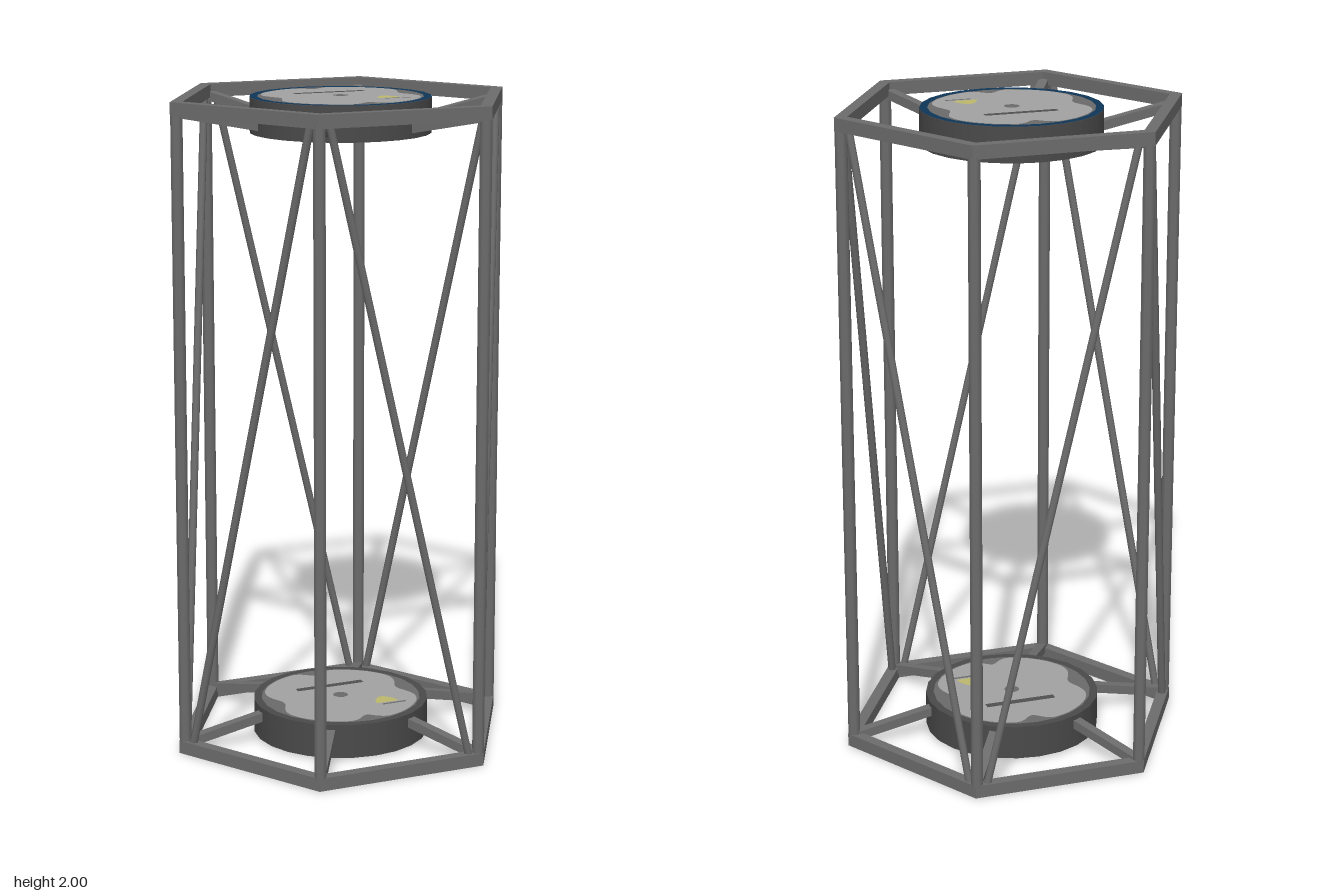
import * as THREE from 'three';

const mat = (name, color) => {
  const m = new THREE.MeshStandardMaterial({ color });
  m.name = name;
  return m;
};

export function createModel() {
  const steel = mat('frame grey', 0x6c6c6c);
  const dark = mat('hub dark grey', 0x4a4a4a);
  const panel = mat('panel grey', 0x6a6a6a);
  const light = mat('light grey', 0xa2a2a2);
  const blue = mat('navy blue', 0x0f3658);
  const yellow = mat('pale yellow', 0xbcb86c);
  const mark = mat('marking grey', 0x505050);

  const model = new THREE.Group();
  model.name = 'hexTruss';

  const add = (parent, name, geometry, material) => {
    const mesh = new THREE.Mesh(geometry, material);
    mesh.name = name;
    parent.add(mesh);
    return mesh;
  };

  // Point on the hexagon: corner i, radius r, height y
  const corner = (i, r, y) => {
    const a = (i * Math.PI) / 3;
    return new THREE.Vector3(r * Math.cos(a), y, r * Math.sin(a));
  };

  // Round bar between two points
  const bar = (parent, name, a, b, radius, sides) => {
    const mesh = add(parent, name, new THREE.CylinderGeometry(radius, radius, a.distanceTo(b), sides), steel);
    mesh.position.copy(a).lerp(b, 0.5);
    mesh.quaternion.setFromUnitVectors(new THREE.Vector3(0, 1, 0), b.clone().sub(a).normalize());
    return mesh;
  };

  // Hexagonal end frame, 0.04 thick, open in the middle
  const hexPoints = (r) => Array.from({ length: 6 }, (_, i) => {
    const p = corner(i, r, 0);
    return new THREE.Vector2(p.x, p.z);
  });
  const hexShape = new THREE.Shape(hexPoints(0.54));
  hexShape.holes.push(new THREE.Path(hexPoints(0.5)));
  const hexGeometry = new THREE.ExtrudeGeometry(hexShape, { depth: 0.04, bevelEnabled: false });
  hexGeometry.rotateX(-Math.PI / 2);

  // Light face of the hub with a notch at each quarter
  const facePoints = [];
  for (let i = 0; i < 96; i++) {
    const a = (i / 96) * Math.PI * 2;
    const dx = Math.asin(Math.abs(Math.sin(a)));
    const dz = Math.PI / 2 - dx;
    const r = 0.243 - 0.052 * Math.exp(-((dx / 0.3) ** 2)) - 0.045 * Math.exp(-((dz / 0.15) ** 2));
    facePoints.push(new THREE.Vector2(r * Math.cos(a), r * Math.sin(a)));
  }
  const faceGeometry = new THREE.ShapeGeometry(new THREE.Shape(facePoints));

  // Rounded triangle marker
  const tri = new THREE.Shape();
  tri.moveTo(0.072, -0.12);
  tri.lineTo(0.145, -0.12);
  tri.quadraticCurveTo(0.145, -0.095, 0.122, -0.072);
  tri.quadraticCurveTo(0.107, -0.06, 0.095, -0.072);
  tri.quadraticCurveTo(0.072, -0.095, 0.072, -0.12);

  // One painted face, lying flat and facing up
  const hubFace = (rimMaterial) => {
    const face = new THREE.Group();
    face.name = 'hubFace';
    const plate = (name, geometry, material, level, x = 0, y = 0) =>
      add(face, name, geometry, material).position.set(x, y, level);
    plate('rim', new THREE.RingGeometry(0.249, 0.273, 24), rimMaterial, 0.001);
    plate('panel', new THREE.CircleGeometry(0.25, 24), panel, 0.0005);
    plate('lightPanel', faceGeometry, light, 0.0015);
    plate('centreSpot', new THREE.CircleGeometry(0.024, 12), panel, 0.0025);
    plate('longMark', new THREE.PlaneGeometry(0.225, 0.024), mark, 0.0025, 0.002, 0.092);
    plate('shortMark', new THREE.PlaneGeometry(0.08, 0.01), panel, 0.0025, 0.125, -0.133);
    plate('marker', new THREE.ShapeGeometry(tri), yellow, 0.0025);
    face.rotation.x = -Math.PI / 2;
    return face;
  };

  // End assembly: frame, hub and spokes, built for the top
  const buildEnd = (name) => {
    const end = new THREE.Group();
    end.name = name;
    add(end, 'hexFrame', hexGeometry, steel).position.y = 0.96;

    const hub = new THREE.Group();
    hub.name = 'hub';
    const height = 0.106;
    add(hub, 'hubBody', new THREE.CylinderGeometry(0.273, 0.273, height, 24), dark);
    const outer = hubFace(blue);
    outer.position.y = height / 2;
    const inner = hubFace(dark);
    inner.position.y = -height / 2;
    inner.rotation.x = Math.PI / 2;
    hub.add(outer, inner);
    hub.position.y = 0.942;
    end.add(hub);

    // Spokes slope from the frame corners in to the hub
    for (let i = 0; i < 6; i++) {
      const pivot = new THREE.Group();
      pivot.name = 'spoke';
      const spoke = add(pivot, 'spokeBar', new THREE.BoxGeometry(0.275, 0.028, 0.03), steel);
      spoke.position.set(0.382, 0.941, 0);
      spoke.rotation.z = Math.atan2(0.05, 0.25);
      pivot.rotation.y = (i * Math.PI) / 3;
      end.add(pivot);
    }
    return end;
  };
  const top = buildEnd('topEnd');
  top.position.y = 1;
  const bottom = buildEnd('bottomEnd');
  bottom.position.y = 1;
  bottom.rotation.x = Math.PI;
  model.add(top, bottom);

  // Corner posts, and one diagonal brace per side in alternating directions
  for (let i = 0; i < 6; i++) {
    bar(model, 'post', corner(i, 0.52, 0.03), corner(i, 0.52, 1.97), 0.019, 8);
    const high = i % 2 === 0 ? i : i + 1;
    const low = i % 2 === 0 ? i + 1 : i;
    const a = corner(high, 0.52, 1.97);
    const b = corner(low, 0.52, 0.03);
    const shift = new THREE.Vector3(b.x - a.x, 0, b.z - a.z).multiplyScalar(0.06);
    bar(model, 'brace', a.add(shift), b.sub(shift), 0.012, 8);
  }

  return model;
}
